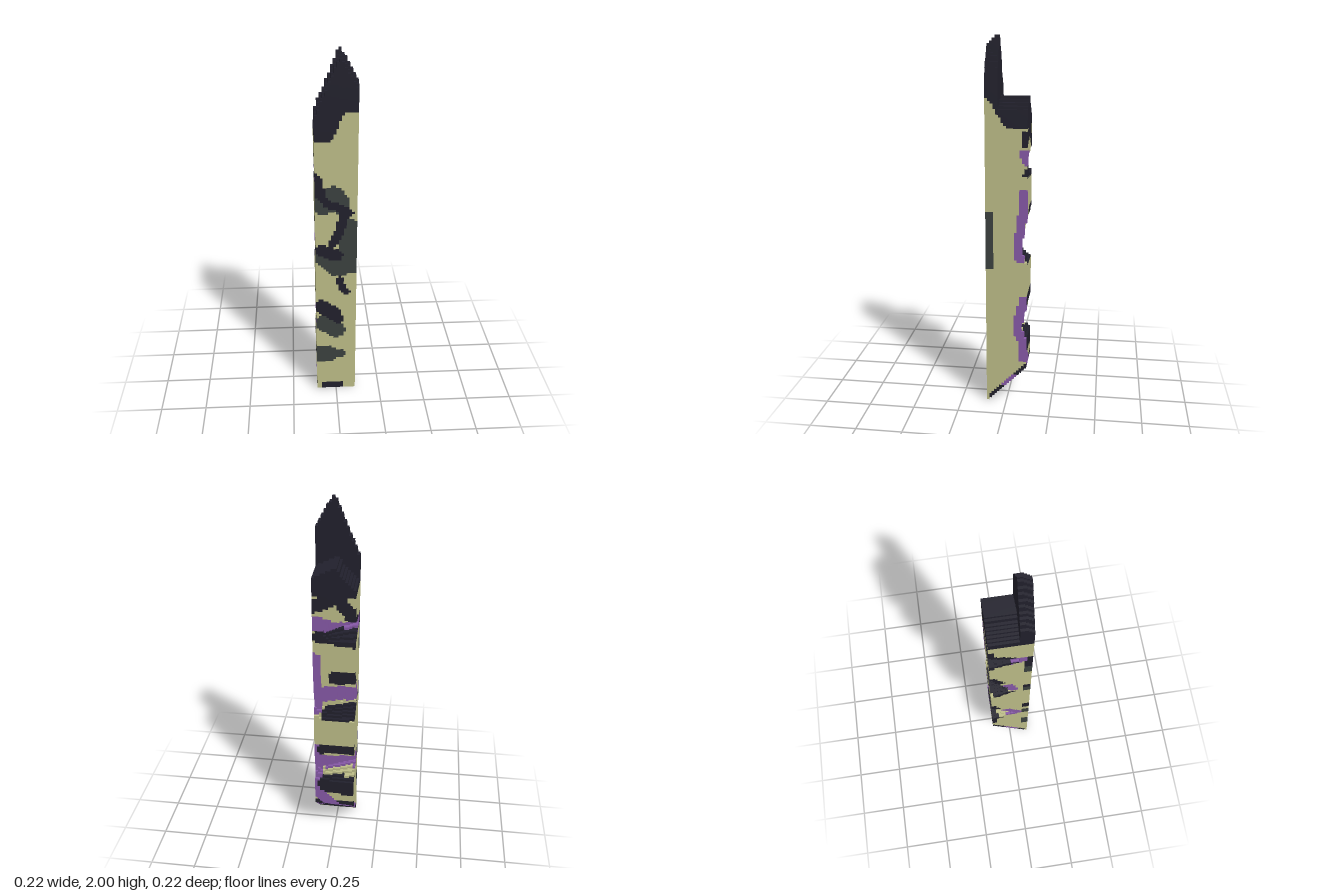
import * as THREE from 'three';

const N = 16, H = 145, S = 2 / H, HALF = N * S / 2;

// Piecewise-linear lookup through [position, value] points
function lerpPoints(pts, t) {
  if (t <= pts[0][0]) return pts[0][1];
  for (let i = 1; i < pts.length; i++) {
    const [a, va] = pts[i - 1], [b, vb] = pts[i];
    if (t <= b) return va + (vb - va) * (t - a) / (b - a);
  }
  return pts[pts.length - 1][1];
}

// Outlines of the pointed blade in front and the lower gable behind it
const bladeTop = [[-0.11, 1.7], [-0.05, 1.84], [0.015, 2.005], [0.04, 1.97], [0.11, 1.84]];
const gableTop = [[-0.11, 1.575], [0, 1.7], [0.11, 1.64]];

// Back surface z by height, at the +x side and at the -x side: three wedge notches
const backPlus = [[0.37, -0.112], [0.45, -0.085], [0.59, -0.112], [0.8, -0.112], [0.88, -0.09],
  [0.95, -0.09], [1.1, -0.112], [1.29, -0.112], [1.35, -0.155], [1.42, -0.112]];
const backMinus = [[0.37, -0.112], [0.45, 0.03], [0.59, -0.112], [0.8, -0.112], [0.88, 0],
  [0.95, -0.02], [1.1, -0.112], [1.29, -0.112], [1.35, 0.065], [1.42, -0.112]];

function backZ(x, y) {
  const t = (x + 0.11) / 0.22;
  return lerpPoints(backMinus, y) * (1 - t) + lerpPoints(backPlus, y) * t;
}
const slant = (z) => (0.1 - z) * 1.0;

function inside(x, y, z) {
  if (y < slant(z) || z < backZ(x, y)) return false;
  if (z > 0.045) return y < lerpPoints(bladeTop, x) - Math.max(0, z - 0.07) * 1.0;
  return y < lerpPoints(gableTop, x);
}

// Painted strokes: [radius, x, y, x, y, ...]
const frontStrokes = {
  grey: [
    [0.055, -0.07, 1.2, -0.01, 1.25, 0.02, 1.2], [0.05, 0.07, 1.07, 0.06, 0.9],
    [0.06, -0.05, 0.88, 0.01, 0.83, 0.08, 0.85], [0.04, 0.09, 1.02, 0.09, 0.83],
    [0.05, -0.07, 0.46, 0, 0.415], [0.055, -0.09, 0.25, -0.04, 0.245], [0.025, 0, 0.25, 0.025, 0.25],
  ],
  black: [
    [0.035, -0.11, 1.34, -0.09, 1.27], [0.022, -0.1, 1.28, -0.04, 1.2, 0.02, 1.18, 0.07, 1.15],
    [0.025, 0.04, 1.14, 0.02, 1.05, -0.02, 0.97], [0.035, -0.08, 0.93, 0, 0.9],
    [0.02, 0.02, 0.75, 0.03, 0.7, 0.06, 0.67], [0.045, -0.08, 0.57, -0.02, 0.53],
    [0.03, -0.01, 0.51, 0.01, 0.49], [0.025, -0.06, 0.02, 0.02, 0.02],
  ],
};
const backStrokes = {
  violet: [
    [0.04, 0.11, 1.4, -0.11, 1.34], [0.045, 0.11, 1.18, 0.11, 0.87], [0.055, 0.11, 0.96, -0.11, 0.94],
    [0.04, 0.11, 0.6, 0.11, 0.31], [0.06, 0.11, 0.5, -0.11, 0.48],
    [0.035, 0.11, 0.31, 0, 0.19, -0.11, 0.11], [0.035, 0.11, 0.13, 0.1, 0.13],
  ],
  black: [
    [0.035, 0.1, 1.49, -0.02, 1.54, -0.11, 1.42], [0.03, 0.1, 1.32, -0.11, 1.29],
    [0.05, -0.02, 1.07, -0.11, 1.07], [0.035, 0.04, 0.83, -0.11, 0.83],
    [0.03, 0.07, 0.6, 0, 0.61, -0.11, 0.6], [0.055, 0.04, 0.35, -0.11, 0.33],
  ],
};

function onStroke(list, x, y) {
  return list.some(([r, ...p]) => {
    for (let i = 0; i + 3 < p.length; i += 2) {
      const dx = p[i + 2] - p[i], dy = p[i + 3] - p[i + 1];
      const t = Math.min(1, Math.max(0, ((x - p[i]) * dx + (y - p[i + 1]) * dy) / (dx * dx + dy * dy)));
      if (Math.hypot(x - p[i] - t * dx, y - p[i + 1] - t * dy) < r) return true;
    }
    return false;
  });
}

function paint(x, y, z) {
  // Dark cap, reaching lower on the back and on the -x side
  const fx = THREE.MathUtils.smoothstep(x, -0.03, 0.05), fz = THREE.MathUtils.smoothstep(z, -0.01, 0.12);
  if (y > 1.55 + 0.16 * fx * fz) return 'black';
  // Crust of the notched back and the slanted foot
  const back = Math.max(backZ(x, y), backZ(x, y - S), backZ(x, y + S));
  const foot = y - slant(z) < 0.03;
  if (foot || z < back + 0.045) {
    if (onStroke(backStrokes.black, x, y) && z < back + 0.03) return 'black';
    if (onStroke(backStrokes.violet, x, y)) return 'violet';
    if (foot && z < 0.095) return 'black';
  }
  // Blotches on the front
  if (z > 0.075) {
    if (onStroke(frontStrokes.black, x, y)) return 'black';
    if (onStroke(frontStrokes.grey, x, y)) return 'grey';
  }
  return 'olive';
}

export function createModel() {
  const group = new THREE.Group();
  const colors = { olive: 0xbcbc87, black: 0x21202c, grey: 0x3b413f, violet: 0x8658a6 };
  const partNames = { olive: 'palePillar', black: 'darkCapAndCrust', grey: 'greyBlotches', violet: 'violetSeams' };
  const positions = { olive: [], black: [], grey: [], violet: [] };

  // Centre of a small cube
  const centre = ([i, j, k]) => [(i + 0.5) * S - HALF, (j + 0.5) * S, (k + 0.5) * S - HALF];
  const filled = (c) => c[0] >= 0 && c[0] < N && c[1] >= 0 && c[1] < H && c[2] >= 0 && c[2] < N
    && inside(...centre(c));

  // Visible faces of every small cube, sorted by colour
  for (let i = 0; i < N; i++) for (let j = 0; j < H; j++) for (let k = 0; k < N; k++) {
    const cell = [i, j, k];
    if (!filled(cell)) continue;
    const mid = centre(cell);
    let target = null;
    for (let a = 0; a < 3; a++) for (const sign of [1, -1]) {
      const next = [...cell];
      next[a] += sign;
      if (filled(next)) continue;
      target ??= positions[paint(...mid)];
      const u = (a + 1) % 3, v = (a + 2) % 3;
      const corners = [[-1, -1], [1, -1], [1, 1], [-1, 1]].map(([cu, cv]) => {
        const p = [...mid];
        p[a] += sign * S / 2;
        p[u] += cu * S / 2;
        p[v] += cv * S / 2;
        return p;
      });
      const order = sign > 0 ? [0, 1, 2, 0, 2, 3] : [0, 2, 1, 0, 3, 2];
      for (const n of order) target.push(...corners[n]);
    }
  }

  for (const key of Object.keys(colors)) {
    const geometry = new THREE.BufferGeometry();
    geometry.setAttribute('position', new THREE.Float32BufferAttribute(positions[key], 3));
    geometry.computeVertexNormals();
    const material = new THREE.MeshStandardMaterial({ color: colors[key] });
    material.name = key;
    const mesh = new THREE.Mesh(geometry, material);
    mesh.name = partNames[key];
    group.add(mesh);
  }
  group.name = 'notchedPillar';
  return group;
}
